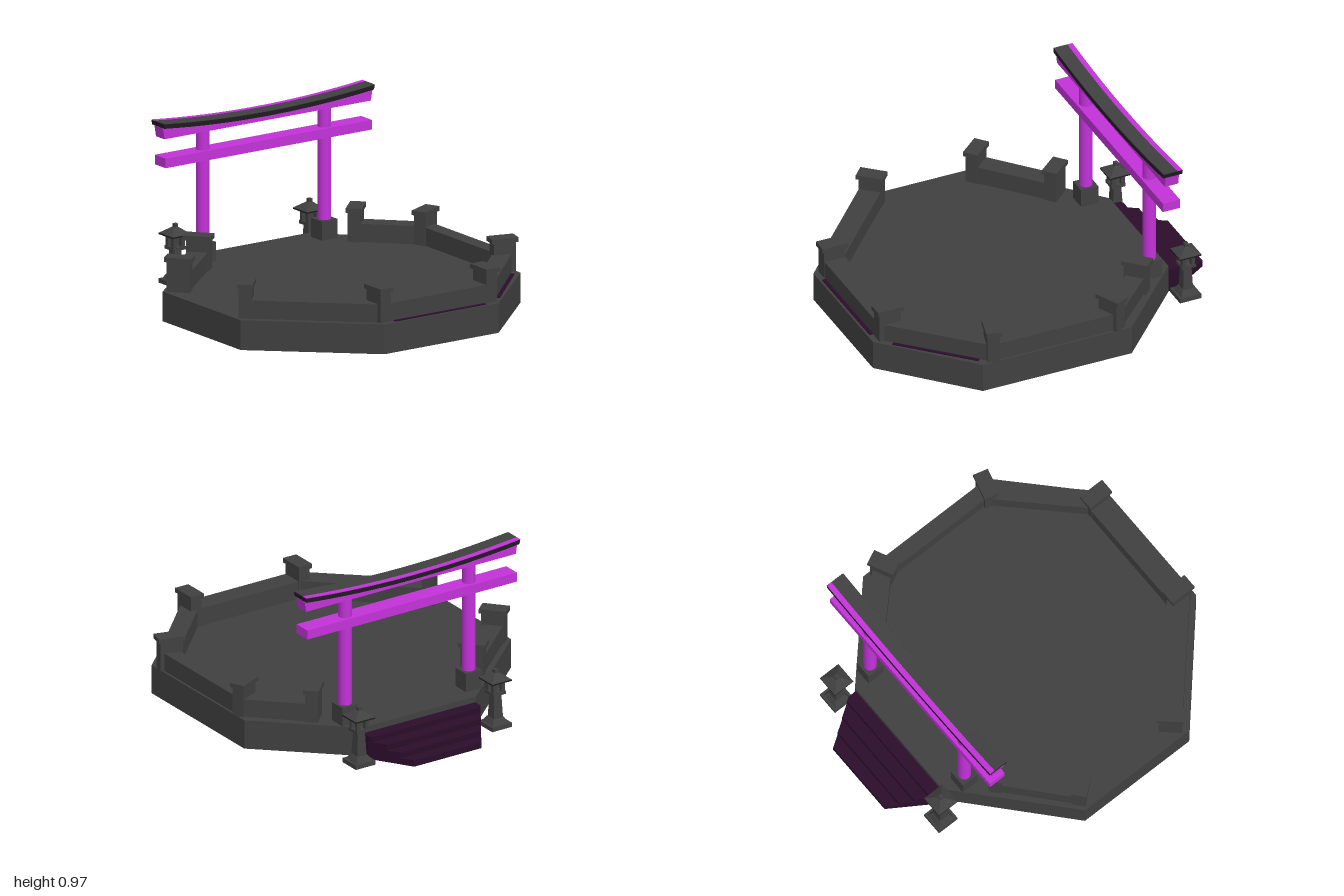
import * as THREE from 'three';

const mat = (name, color) => {
  const m = new THREE.MeshStandardMaterial({ color });
  m.name = name;
  return m;
};

export function createModel() {
  const stone = mat('darkStone', 0x404040);
  const paint = mat('brightPurple', 0xc232d8);
  const plum = mat('darkPlum', 0x2a0d2a);
  const black = mat('nearBlack', 0x1e1b1e);
  const root = new THREE.Group();
  root.name = 'shrinePlatform';

  const add = (name, geo, m, x = 0, y = 0, z = 0, ry = 0, parent = root) => {
    const mesh = new THREE.Mesh(geo, m);
    mesh.name = name;
    mesh.position.set(x, y, z);
    mesh.rotation.y = ry;
    parent.add(mesh);
    return mesh;
  };
  const box = (w, h, d) => new THREE.BoxGeometry(w, h, d);
  // Vertical prism from [x, z] outline
  const slab = (pts, h) => new THREE.ExtrudeGeometry(
    new THREE.Shape(pts.map(([x, z]) => new THREE.Vector2(x, -z))),
    { depth: h, bevelEnabled: false }).rotateX(-Math.PI / 2);
  // Square frustum, optionally pointed
  const frustum = (top, bottom, h) => new THREE.CylinderGeometry(
    top * Math.SQRT1_2, bottom * Math.SQRT1_2, h, 4, 1).rotateY(Math.PI / 4).toNonIndexed();
  const flat = (g) => { g.computeVertexNormals(); return g; };

  // Eight-sided platform
  const BASE = 0.163;
  add('platform', slab([[-0.31, 1], [0.43, 1], [0.88, 0.57], [0.88, -0.3],
    [0.42, -0.73], [-0.31, -0.73], [-0.88, -0.22], [-0.88, 0.49]], BASE), stone);

  // Low walls between the posts; the left side stays open
  const WALL = 0.1;
  const walls = [
    [-0.8, 0.43, -0.28, 0.905, 0.12],
    [-0.28, 0.905, 0.41, 0.905, 0.12],
    [0.41, 0.905, 0.82, 0.49, 0.1],
    [0.825, 0.49, 0.825, -0.22, 0.085],
    [0.82, -0.22, 0.56, -0.48, 0.1],
    [-0.46, -0.48, -0.8, -0.18, 0.11],
  ];
  walls.forEach(([x1, z1, x2, z2, t], i) => {
    const len = Math.hypot(x2 - x1, z2 - z1);
    const angle = Math.atan2(-(z2 - z1), x2 - x1);
    const cx = (x1 + x2) / 2, cz = (z1 + z2) / 2;
    add('lowWall', box(len, WALL, t), stone, cx, BASE + WALL / 2, cz, angle);
    // Dark strip along the outer foot of two walls
    if (i === 1 || i === 2) {
      const off = t / 2 + 0.012;
      add('footStrip', box(len - 0.1, 0.004, 0.02), plum,
        cx + Math.sin(angle) * off, BASE + 0.002, cz + Math.cos(angle) * off, angle);
    }
  });

  // Capped wall posts: x, z, turn
  const D = Math.PI / 180;
  const posts = [
    [-0.8, 0.43, -42], [-0.28, 0.905, 0], [0.41, 0.905, 0], [0.82, 0.49, 75],
    [0.82, -0.21, 115], [0.56, -0.48, 135], [-0.46, -0.48, 41], [-0.8, -0.18, 41],
  ];
  posts.forEach(([x, z, a]) => {
    const post = new THREE.Group();
    post.name = 'wallPost';
    post.position.set(x, BASE, z);
    post.rotation.y = a * D;
    add('postBody', box(0.068, 0.165, 0.125), stone, 0, 0.0825, 0, 0, post);
    add('postCap', box(0.085, 0.025, 0.15), stone, 0, 0.176, 0, 0, post);
    root.add(post);
  });

  // Steps narrowing away from the platform
  const CX = 0.055;
  const halfWidth = (z) => (z > -0.78 ? 0.36 : 0.215 + (z + 1) / 0.22 * 0.143);
  [[-0.8, 0.13], [-0.87, 0.1], [-0.935, 0.067], [-1, 0.035]].forEach(([z, h]) => {
    const back = -0.728, a = halfWidth(z), mid = Math.max(z + 0.01, -0.78);
    add('step', slab([[CX - 0.36, back], [CX + 0.36, back], [CX + halfWidth(mid), mid],
      [CX + a, z], [CX - a, z], [CX - halfWidth(mid), mid]], h), plum);
  });

  // Gate
  const gate = new THREE.Group();
  gate.name = 'gate';
  gate.position.set(0.05, 0, -0.607);
  root.add(gate);
  for (const s of [-1, 1]) {
    add('pillarFoot', box(0.1, 0.105, 0.1), stone, s * 0.395, BASE + 0.0525, 0, 0, gate);
    add('pillar', new THREE.CylinderGeometry(0.036, 0.036, 0.63, 20), paint, s * 0.395, 0.575, 0, 0, gate);
  }
  add('lowerBeam', box(1.34, 0.052, 0.1), paint, 0, 0.748, 0, 0, gate);

  // Curved pieces: lower edge and upper edge given as functions of x
  const curved = (half, low, high, depth, flare = 0) => {
    const n = 16, pts = [];
    for (let i = 0; i <= n; i++) {
      const x = -half + 2 * half * i / n;
      pts.push(new THREE.Vector2(x, low(x)));
    }
    for (let i = n; i >= 0; i--) {
      const x = -half + 2 * half * i / n;
      pts.push(new THREE.Vector2(x * (1 + flare), high(x)));
    }
    return new THREE.ExtrudeGeometry(new THREE.Shape(pts), { depth, bevelEnabled: false })
      .translate(0, 0, -depth / 2);
  };
  const sweep = (x) => 0.905 + 0.035 * (x / 0.68) ** 2;
  add('upperBeam', curved(0.67, () => 0.878, sweep, 0.078, 0.015), paint, 0, 0, 0, 0, gate);
  add('roofBeam', curved(0.68, sweep, (x) => sweep(x) + 0.024, 0.112, 0.008), black, 0, 0, -0.003, 0, gate);
  const top = (x) => sweep(x) + 0.024;
  const cover = (x) => top(x) + 0.004;
  add('roofCover', curved(0.683, top, cover, 0.08), stone, 0, 0, 0.012, 0, gate);
  add('roofBackStrip', curved(0.683, top, cover, 0.03), paint, 0, 0, -0.043, 0, gate);

  // Stone lanterns with open light chambers
  for (const s of [-1, 1]) {
    const lamp = new THREE.Group();
    lamp.name = 'lantern';
    lamp.position.set(0.051 + s * 0.436, 0, -0.8);
    root.add(lamp);
    add('lanternBase', box(0.125, 0.025, 0.125), stone, 0, 0.0125, 0, 0, lamp);
    add('lanternFoot', flat(frustum(0.065, 0.1, 0.03)), stone, 0, 0.04, 0, 0, lamp);
    add('lanternShaft', flat(frustum(0.045, 0.058, 0.135)), stone, 0, 0.122, 0, 0, lamp);
    add('chamberFloor', box(0.08, 0.018, 0.08), stone, 0, 0.198, 0, 0, lamp);
    for (const x of [-1, 1]) for (const z of [-1, 1]) {
      add('chamberCorner', box(0.022, 0.05, 0.022), stone, x * 0.026, 0.232, z * 0.026, 0, lamp);
    }
    add('chamberTop', box(0.074, 0.014, 0.074), stone, 0, 0.262, 0, 0, lamp);
    add('lanternEave', box(0.125, 0.008, 0.125), black, 0, 0.27, 0, 0, lamp);
    add('lanternRoof', flat(frustum(0.025, 0.125, 0.036)), stone, 0, 0.292, 0, 0, lamp);
    add('lanternFinial', box(0.022, 0.02, 0.022), stone, 0, 0.319, 0, 0, lamp);
  }
  return root;
}
